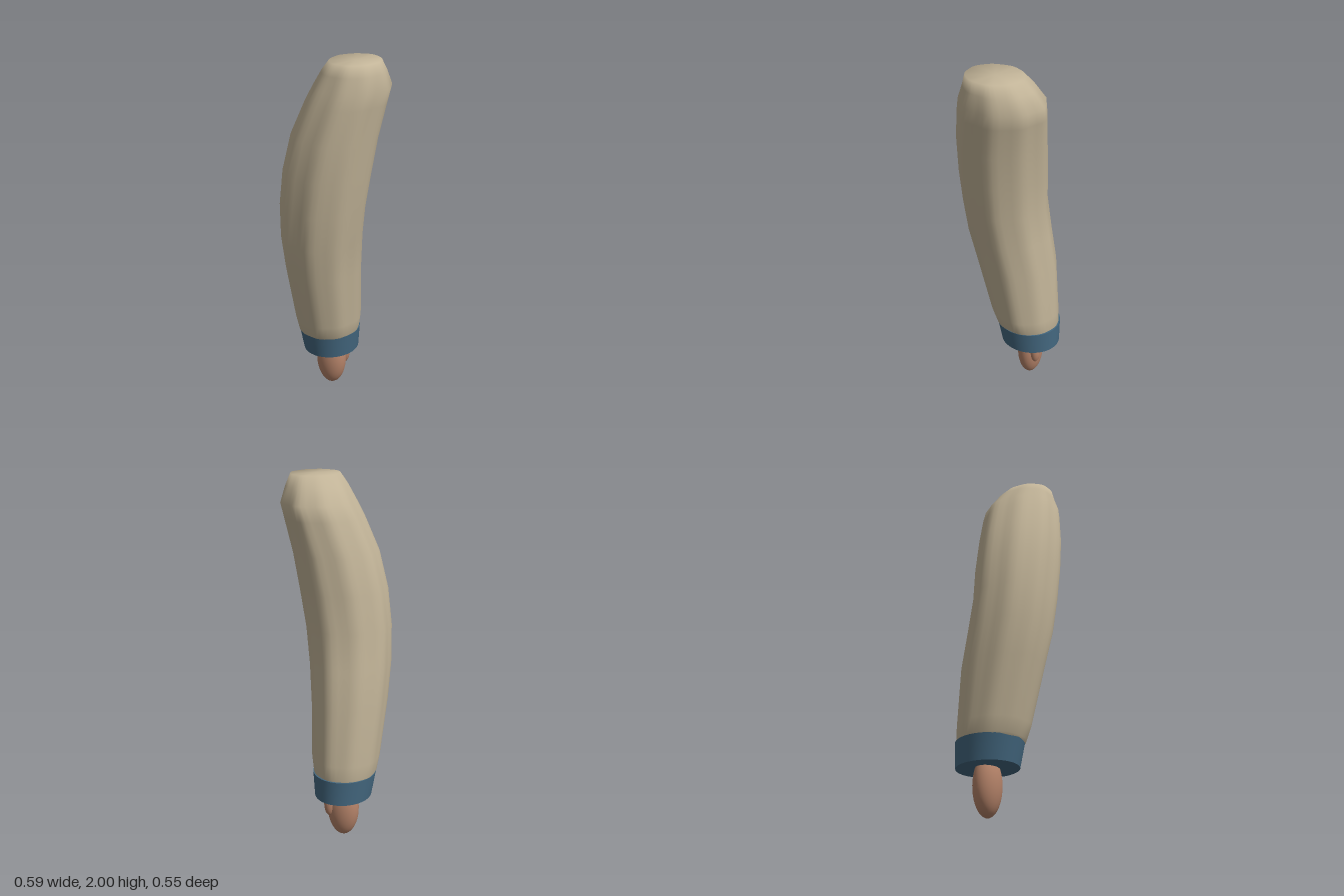
import * as THREE from 'three';
import { toCreasedNormals } from 'three/addons/utils/BufferGeometryUtils.js';

const SIDES = 48;

// Closed loft through rings given as [y, xMin, xMax, zMin, zMax]
function loft(rings, fold = () => 1) {
  const pos = [], index = [];
  const centre = ([y, x0, x1, z0, z1]) => [(x0 + x1) / 2, y, (z0 + z1) / 2];
  for (const ring of rings) {
    const [y, x0, x1, z0, z1] = ring;
    const [cx, , cz] = centre(ring);
    for (let i = 0; i < SIDES; i++) {
      const a = (i / SIDES) * Math.PI * 2, k = fold(a, y);
      pos.push(cx + Math.cos(a) * k * (x1 - x0) / 2, y, cz + Math.sin(a) * k * (z1 - z0) / 2);
    }
  }
  const last = (rings.length - 1) * SIDES, bottom = rings.length * SIDES, top = bottom + 1;
  pos.push(...centre(rings[0]), ...centre(rings[rings.length - 1]));
  for (let i = 0; i < SIDES; i++) {
    const n = (i + 1) % SIDES;
    for (let r = 0; r < last; r += SIDES) {
      index.push(r + i, r + SIDES + i, r + n, r + n, r + SIDES + i, r + SIDES + n);
    }
    index.push(bottom, i, n, last + i, top, last + n);
  }
  const g = new THREE.BufferGeometry();
  g.setAttribute('position', new THREE.Float32BufferAttribute(pos, 3));
  g.setIndex(index);
  g.computeVertexNormals();
  return g;
}

export function createModel() {
  const model = new THREE.Group();
  model.name = 'sleevedArm';
  const material = (name, color) => {
    const m = new THREE.MeshStandardMaterial({ color });
    m.name = name;
    return m;
  };
  const cloth = material('beige cloth', 0xc2b498);
  const blue = material('blue cuff', 0x446880);
  const skin = material('skin', 0xb58369);

  const add = (name, geometry, mat) => {
    const mesh = new THREE.Mesh(geometry, mat);
    mesh.name = name;
    model.add(mesh);
    return mesh;
  };

  // Bent sleeve with soft lengthwise folds
  const sleeveRings = [
    [0.37, -0.25, 0.065, -0.255, 0.075],
    [0.40, -0.265, 0.08, -0.268, 0.10],
    [0.48, -0.275, 0.097, -0.266, 0.127],
    [0.80, -0.295, 0.118, -0.245, 0.207],
    [1.00, -0.298, 0.145, -0.215, 0.25],
    [1.20, -0.29, 0.177, -0.192, 0.268],
    [1.40, -0.265, 0.21, -0.20, 0.275],
    [1.60, -0.215, 0.243, -0.207, 0.266],
    [1.78, -0.14, 0.278, -0.222, 0.236],
    [1.86, -0.10, 0.294, -0.225, 0.217],
    [1.94, -0.05, 0.275, -0.173, 0.19],
    [2.00, 0, 0.256, -0.125, 0.172],
  ];
  const fold = (a, y) => {
    const depth = 0.022 * Math.min(1, (y - 0.32) * 4) * (y > 1.9 ? 0.5 : 1);
    return 1 + depth * (Math.cos(9 * a + 0.4) + 0.6 * Math.cos(5 * a + 1.1) - 0.3);
  };
  add('sleeve', loft(sleeveRings, fold), cloth);

  // Flared cuff
  const cuff = loft([
    [0.26, -0.245, 0.065, -0.275, 0.065],
    [0.395, -0.265, 0.08, -0.275, 0.092],
  ]);
  add('cuff', toCreasedNormals(cuff, 0.8), blue);

  // Mitten-like hand and its thumb
  const ball = new THREE.SphereGeometry(1, 32, 20);
  const hand = add('hand', ball, skin);
  hand.scale.set(0.09, 0.165, 0.072);
  hand.position.set(-0.09, 0.17, -0.105);
  const thumb = add('thumb', ball, skin);
  thumb.scale.set(0.03, 0.075, 0.029);
  thumb.position.set(-0.028, 0.205, -0.156);

  return model;
}
